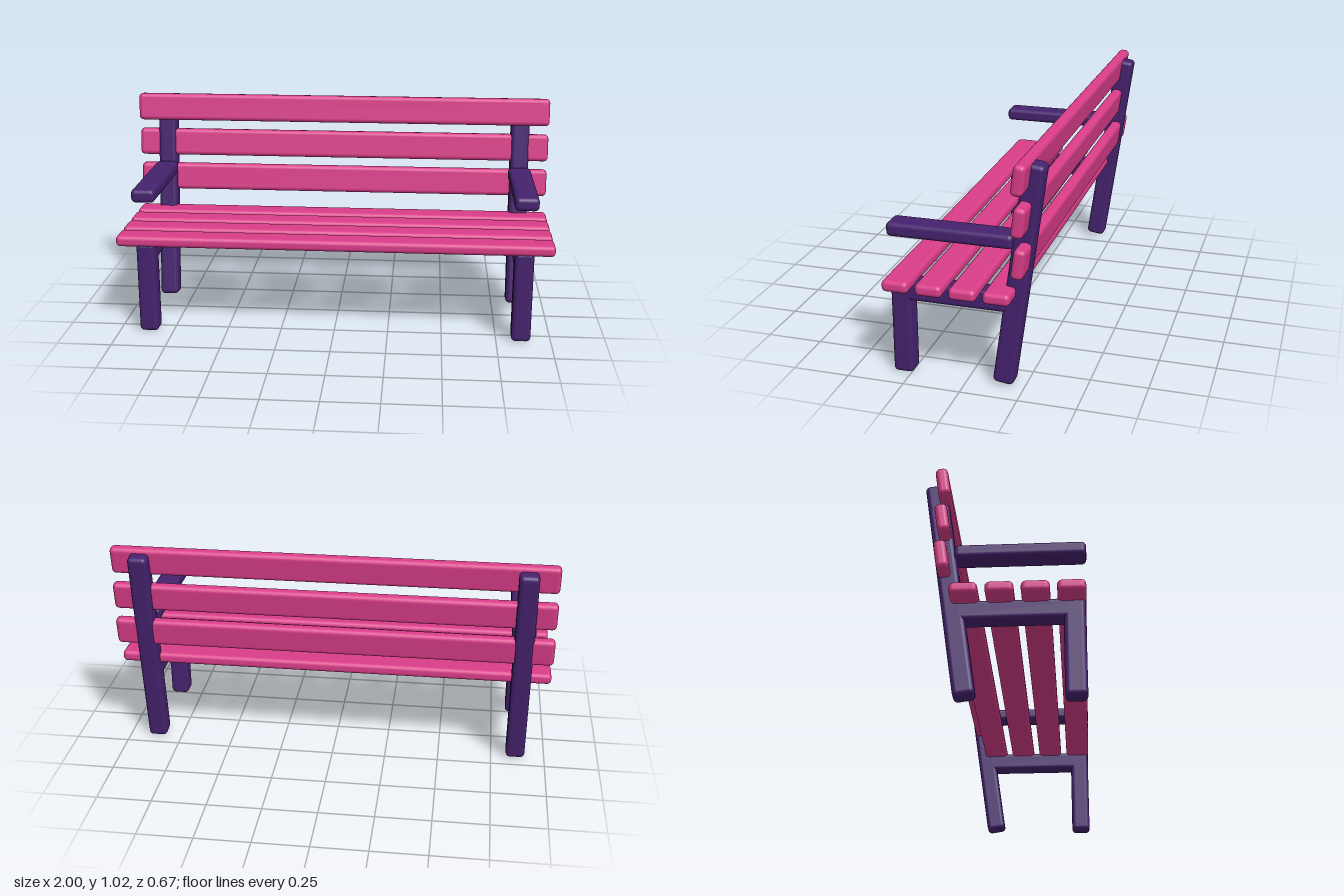
import * as THREE from 'three';
import { RoundedBoxGeometry } from 'three/addons/geometries/RoundedBoxGeometry.js';

export function createModel() {
  const bench = new THREE.Group();
  bench.name = 'bench';

  const pink = new THREE.MeshStandardMaterial({ color: 0xd93d89 });
  pink.name = 'pink slats';
  const purple = new THREE.MeshStandardMaterial({ color: 0x45226e });
  purple.name = 'purple frame';

  const LEAN = -THREE.MathUtils.degToRad(7.9); // backrest leans towards -z

  function bar(name, material, [w, h, d], radius, [x, y, z], tilt = 0) {
    const mesh = new THREE.Mesh(new RoundedBoxGeometry(w, h, d, 3, radius), material);
    mesh.name = name;
    mesh.position.set(x, y, z);
    mesh.rotation.x = tilt;
    bench.add(mesh);
  }

  // Seat: four long slats
  for (let i = 0; i < 4; i++) {
    bar('seatSlat', pink, [2, 0.052, 0.116], 0.02, [0, 0.439, 0.275 - i * 0.145]);
  }

  // Backrest: three leaning slats stacked vertically
  for (let i = 0; i < 3; i++) {
    bar('backSlat', pink, [2, 0.13, 0.052], 0.02, [0, 0.6 + i * 0.175, -0.252], LEAN);
  }

  // Side frames, mirrored left and right
  for (const side of [-1, 1]) {
    const x = side * 0.863;
    bar('frontLeg', purple, [0.088, 0.43, 0.09], 0.02, [x, 0.215, 0.285]);
    bar('rearPost', purple, [0.088, 0.99, 0.09], 0.02, [x, 0.501, -0.225], LEAN);
    bar('seatRail', purple, [0.088, 0.09, 0.54], 0.02, [x, 0.385, 0.06]);
    bar('armrest', purple, [0.108, 0.062, 0.545], 0.02, [x, 0.657, 0.065]);
  }

  return bench;
}
